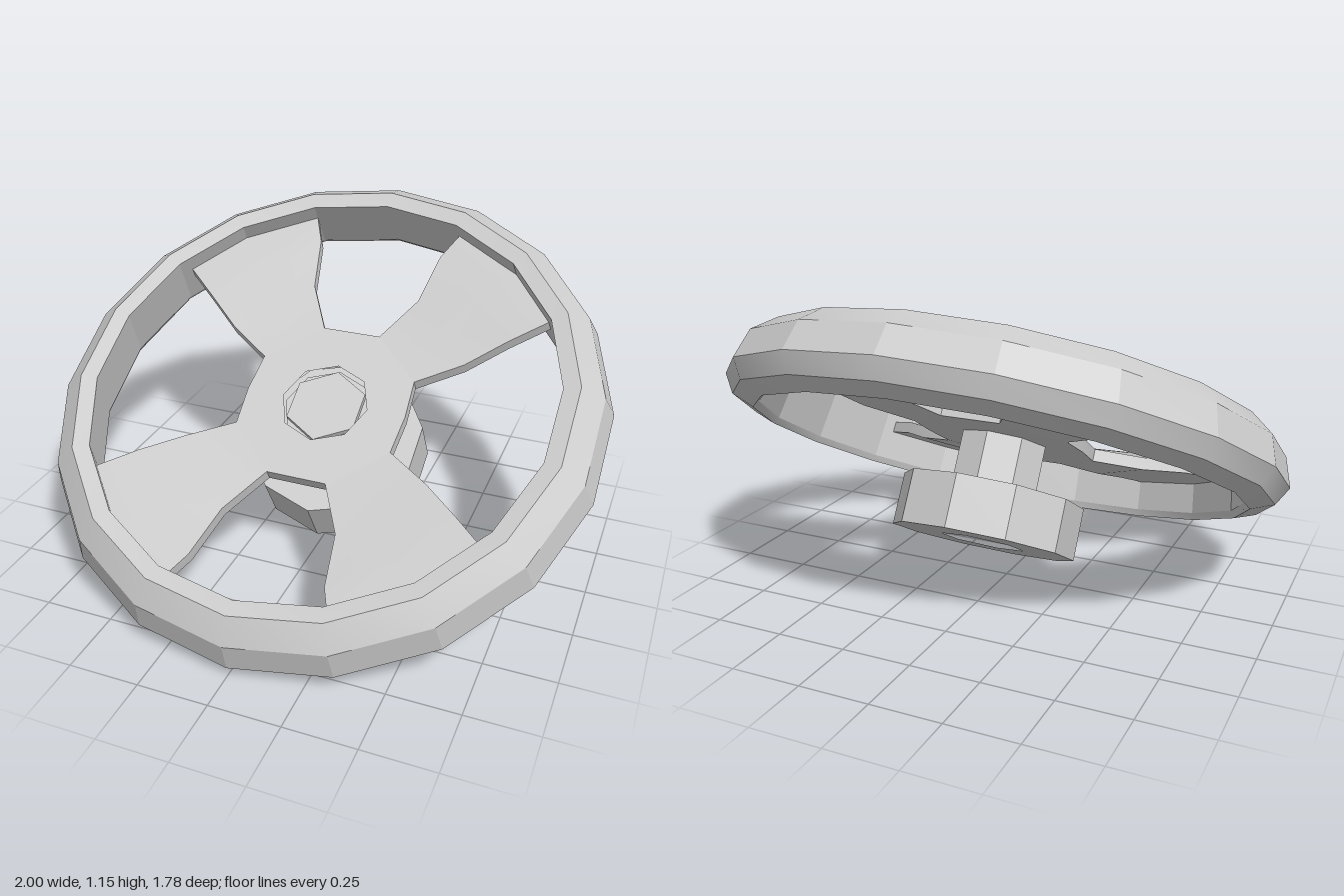
import * as THREE from 'three';
import { toCreasedNormals } from 'three/addons/utils/BufferGeometryUtils.js';

const material = new THREE.MeshStandardMaterial({ color: 0xcccccc });

function part(name, geometry, crease = 0.33) {
  const mesh = new THREE.Mesh(toCreasedNormals(geometry, crease), material);
  mesh.name = name;
  return mesh;
}

// Regular polygon with one corner pointing to the back
function ngon(radius, sides) {
  return Array.from({ length: sides }, (_, i) => {
    const a = (i / sides) * Math.PI * 2;
    return new THREE.Vector2(Math.sin(a) * radius, Math.cos(a) * radius);
  });
}

// Horizontal slab with a hole, from y = bottom to y = top
function slab(outline, hole, bottom, top) {
  const shape = new THREE.Shape(outline);
  shape.holes.push(new THREE.Path(hole));
  const geometry = new THREE.ExtrudeGeometry(shape, { depth: top - bottom, bevelEnabled: false });
  return geometry.rotateX(-Math.PI / 2).translate(0, bottom, 0);
}

function prism(radius, sides, bottom, top) {
  return new THREE.CylinderGeometry(radius, radius, top - bottom, sides)
    .rotateY(Math.PI).translate(0, (top + bottom) / 2, 0);
}

const THICK = 0.045;

// Spoke stations from hub to rim: one edge, other edge (x, z), top height
const stations = [
  [[0.11, 0.32], [0.295, 0.15], 0],
  [[0.21, 0.50], [0.455, 0.25], 0.012],
  [[0.245, 0.70], [0.59, 0.36], 0.042],
  [[0.30, 0.82], [0.73, 0.475], 0.055],
];

function spoke(mirrored) {
  const positions = [];
  const index = [];
  stations.forEach(([a, b, y], i) => {
    const bulge = i === 3 ? 1.065 : 1;
    const m = [(a[0] + b[0]) / 2 * bulge, (a[1] + b[1]) / 2 * bulge];
    let row = [a, m, b];
    if (mirrored) row = row.map(([x, z]) => [-x, z]).reverse();
    row.forEach(([x, z]) => positions.push(x, y, z));
    [...row].reverse().forEach(([x, z]) => positions.push(x, y - THICK, z));
  });
  for (let i = 0; i < stations.length - 1; i++) {
    for (let j = 0; j < 6; j++) {
      const p = i * 6 + j;
      const q = i * 6 + (j + 1) % 6;
      index.push(p, p + 6, q, q, p + 6, q + 6);
    }
  }
  const geometry = new THREE.BufferGeometry();
  geometry.setAttribute('position', new THREE.Float32BufferAttribute(positions, 3));
  geometry.setIndex(index);
  return geometry;
}

export function createModel() {
  const wheel = new THREE.Group();
  wheel.name = 'tiltedWheel';

  // Rim: closed profile swept round in 18 segments
  const profile = [
    [0.88, -0.105], [0.895, -0.13], [0.975, -0.1], [1.015, -0.035],
    [0.985, 0.07], [0.905, 0.138], [0.845, 0.125], [0.88, -0.105],
  ].map(([r, y]) => new THREE.Vector2(r, y));
  wheel.add(part('rim', new THREE.LatheGeometry(profile, 18)));

  // Four flared spokes, rising towards the rim
  for (const turn of [0, Math.PI]) {
    for (const mirrored of [false, true]) {
      wheel.add(part('spoke', spoke(mirrored).rotateY(turn), 0.6));
    }
  }

  // Hub plate with an eight-sided recess
  const corner = [[0.11, 0.32], [0.295, 0.15], [0.305, 0], [0.295, -0.15], [0.11, -0.32]];
  const outline = [...corner, ...corner.map(([x, y]) => [-x, y]).reverse()]
    .map(([x, y]) => new THREE.Vector2(x, y));
  wheel.add(part('hubPlate', slab(outline, ngon(0.162, 8), -THICK, 0)));
  wheel.add(part('hubNut', prism(0.148, 6, -0.06, -0.02)));

  // Column shaft
  wheel.add(part('shaft', prism(0.162, 8, -0.25, -0.04)));

  // Ten-sided base with a hexagonal socket underneath
  wheel.add(part('base', slab(ngon(0.33, 10), ngon(0.15, 6), -0.417, -0.23)));
  wheel.add(part('baseSocket', prism(0.15, 6, -0.397, -0.24)));

  // Tilt so the front edge is low
  wheel.rotation.x = Math.PI / 6;
  wheel.position.y = 0.578;

  const model = new THREE.Group();
  model.name = 'steeringWheel';
  model.add(wheel);
  return model;
}
